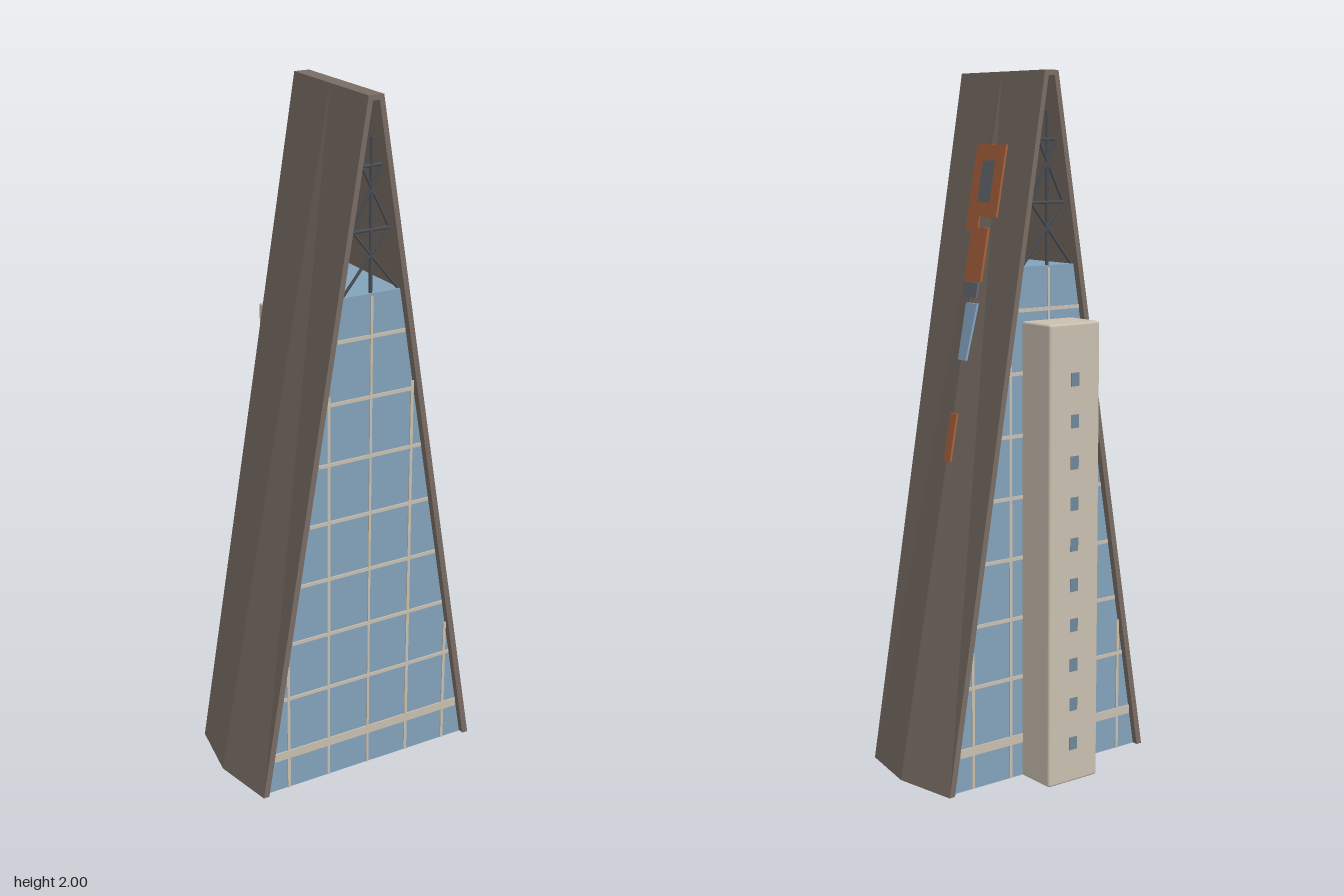
import * as THREE from 'three';
import { RoundedBoxGeometry } from 'three/addons/geometries/RoundedBoxGeometry.js';

const BACK = -0.14, RIDGE = 0.055, FRONT = 0.25, ROOF = 1.47;
const glassHalf = y => 0.333 - 0.166 * y;
const glassTop = x => Math.min(ROOF, (0.333 - Math.abs(x)) / 0.166);

function material(name, color, side = THREE.FrontSide) {
  const m = new THREE.MeshStandardMaterial({ color, side });
  m.name = name;
  return m;
}

function shapeOf(points) {
  return new THREE.Shape(points.map(([x, y]) => new THREE.Vector2(x, y)));
}

// Leaning side wall, folded along a ridge; side is +1 or -1
function wallGeometry(side) {
  const bottom = [[0.355, BACK], [0.39, RIDGE], [0.355, FRONT], [0.337, FRONT], [0.337, RIDGE], [0.337, BACK]]
    .map(([x, z]) => [side * x, 0, z]);
  const top = bottom.map(([, , z], i) => [side * (i < 3 ? 0.023 : 0.008), 2, z]);
  const positions = [];
  const tri = (a, b, c) => positions.push(...a, ...(side > 0 ? b : c), ...(side > 0 ? c : b));
  for (let i = 0; i < 6; i++) {
    const j = (i + 1) % 6;
    if (i === 0) {
      tri(bottom[j], bottom[i], top[j]);
      tri(bottom[i], top[i], top[j]);
    } else {
      tri(bottom[j], bottom[i], top[i]);
      tri(bottom[j], top[i], top[j]);
    }
  }
  const geometry = new THREE.BufferGeometry();
  geometry.setAttribute('position', new THREE.Float32BufferAttribute(positions, 3));
  geometry.computeVertexNormals();
  return geometry;
}

// Thin plate on the left wall, outlined by [z, y] points
function decalGeometry(points, hole) {
  const flip = list => list.map(([z, y]) => [-z, y]);
  const shape = shapeOf(flip(points));
  if (hole) shape.holes.push(shapeOf(flip(hole)));
  const geometry = new THREE.ExtrudeGeometry(shape, { depth: 0.007, bevelEnabled: false });
  const p = geometry.attributes.position;
  for (let i = 0; i < p.count; i++) {
    const u = p.getX(i), y = p.getY(i), d = p.getZ(i);
    p.setXYZ(i, 0.023 + 0.1835 * (2 - y) - 0.003 + d, y, -u);
  }
  geometry.computeVertexNormals();
  return geometry;
}

export function createModel() {
  const model = new THREE.Group();
  model.name = 'taperedTower';
  const stone = material('brownStone', 0x796d64);
  const glass = material('blueGlass', 0x83a2ba);
  const beige = material('beigeConcrete', 0xc9bfb0);
  const steel = material('darkSteel', 0x4a4f55);
  const orange = material('orangePaint', 0xa9623c);
  const grey = material('greyPaint', 0x646a70);
  const sky = material('lightBluePaint', 0x8aaccb);
  const pane = material('windowBlue', 0x6f8799);

  const add = (name, geometry, mat, x = 0, y = 0, z = 0, parent = model) => {
    const mesh = new THREE.Mesh(geometry, mat);
    mesh.name = name;
    mesh.position.set(x, y, z);
    parent.add(mesh);
    return mesh;
  };

  // Side walls and the cap joining them
  add('leftWall', wallGeometry(1), stone);
  add('rightWall', wallGeometry(-1), stone);
  add('topCap', new THREE.BoxGeometry(0.046, 0.014, FRONT - BACK), stone, 0, 1.993, RIDGE);

  // Glass body and six-sided underside
  const body = shapeOf([[-glassHalf(0), 0.002], [glassHalf(0), 0.002], [glassHalf(ROOF), ROOF], [-glassHalf(ROOF), ROOF]]);
  add('glassBody', new THREE.ExtrudeGeometry(body, { depth: 0.364, bevelEnabled: false }), glass, 0, 0, -0.127);
  const base = shapeOf([[-0.355, BACK], [0.355, BACK], [0.39, RIDGE], [0.355, FRONT], [-0.355, FRONT], [-0.39, RIDGE]]);
  add('underside', new THREE.ShapeGeometry(base), glass).rotation.x = Math.PI / 2;

  // Facade grids and crown trusses, front and back
  const bar = (name, x1, y1, x2, y2, radius, z, parent) => {
    const length = Math.hypot(x2 - x1, y2 - y1);
    const mesh = add(name, new THREE.CylinderGeometry(radius, radius, length, 6), steel,
      (x1 + x2) / 2, (y1 + y2) / 2, z, parent);
    mesh.rotation.z = Math.atan2(x1 - x2, y2 - y1);
  };
  for (const [face, z, trussZ] of [['front', 0.238, 0.23], ['back', -0.128, -0.12]]) {
    const grid = new THREE.Group();
    grid.name = face + 'Grid';
    model.add(grid);
    for (let i = 0; i < 8; i++) {
      const y = i ? 0.125 + 0.175 * i : 0.115;
      add('floorBand', new THREE.BoxGeometry(2 * glassHalf(y) - 0.004, i ? 0.01 : 0.026, 0.006), beige, 0, y, z, grid);
    }
    for (const x of [-0.265, -0.133, 0, 0.133, 0.265]) {
      const h = glassTop(x) - 0.01;
      add('mullion', new THREE.BoxGeometry(x ? 0.009 : 0.007, h, 0.005), beige, x, h / 2 + 0.003, z, grid);
    }
    const truss = new THREE.Group();
    truss.name = face + 'Truss';
    model.add(truss);
    bar('mast', 0, ROOF, 0, 1.89, 0.005, trussZ, truss);
    bar('lowerCrossbar', -0.058, 1.643, 0.058, 1.643, 0.005, trussZ, truss);
    bar('upperCrossbar', -0.03, 1.815, 0.03, 1.815, 0.005, trussZ, truss);
    for (const s of [-1, 1]) {
      bar('lowerBrace', s * 0.086, ROOF, -s * 0.056, 1.643, 0.004, trussZ, truss);
      bar('upperBrace', s * 0.056, 1.643, -s * 0.03, 1.815, 0.004, trussZ, truss);
    }
  }

  // Painted patches on the left wall
  const rect = (z1, z2, y1, y2) => [[z1, y1], [z2, y1], [z2, y2], [z1, y2]];
  const opening = rect(0.08, 0.022, 1.64, 1.755);
  add('orangeFrame', decalGeometry([[0.118, 1.56], [0.09, 1.56], [0.09, 1.42], [0.012, 1.42], [0.012, 1.57],
    [0.06, 1.57], [0.06, 1.6], [-0.018, 1.6], [-0.018, 1.8], [0.118, 1.8]], opening), orange);
  add('greyPanel', decalGeometry(opening), grey);
  add('greyStrip', decalGeometry(rect(0.083, 0.022, 1.375, 1.418)), grey);
  add('bluePatch', decalGeometry([[0.065, 1.2], [0.028, 1.2], [0.012, 1.36], [0.065, 1.36]]), sky);
  add('orangePatch', decalGeometry(rect(0.065, 0.034, 0.915, 1.05)), orange);

  // Rear service shaft with a column of windows
  const shaft = new THREE.Group();
  shaft.name = 'serviceShaft';
  model.add(shaft);
  add('shaftBody', new RoundedBoxGeometry(0.177, 1.32, 0.126, 2, 0.007), beige, 0.002, 0.66, -0.187, shaft);
  for (let i = 0; i < 10; i++) {
    add('shaftWindow', new THREE.BoxGeometry(0.028, 0.038, 0.006), pane, 0.002, 0.115 + 0.1166 * i, -0.248, shaft);
  }
  return model;
}
